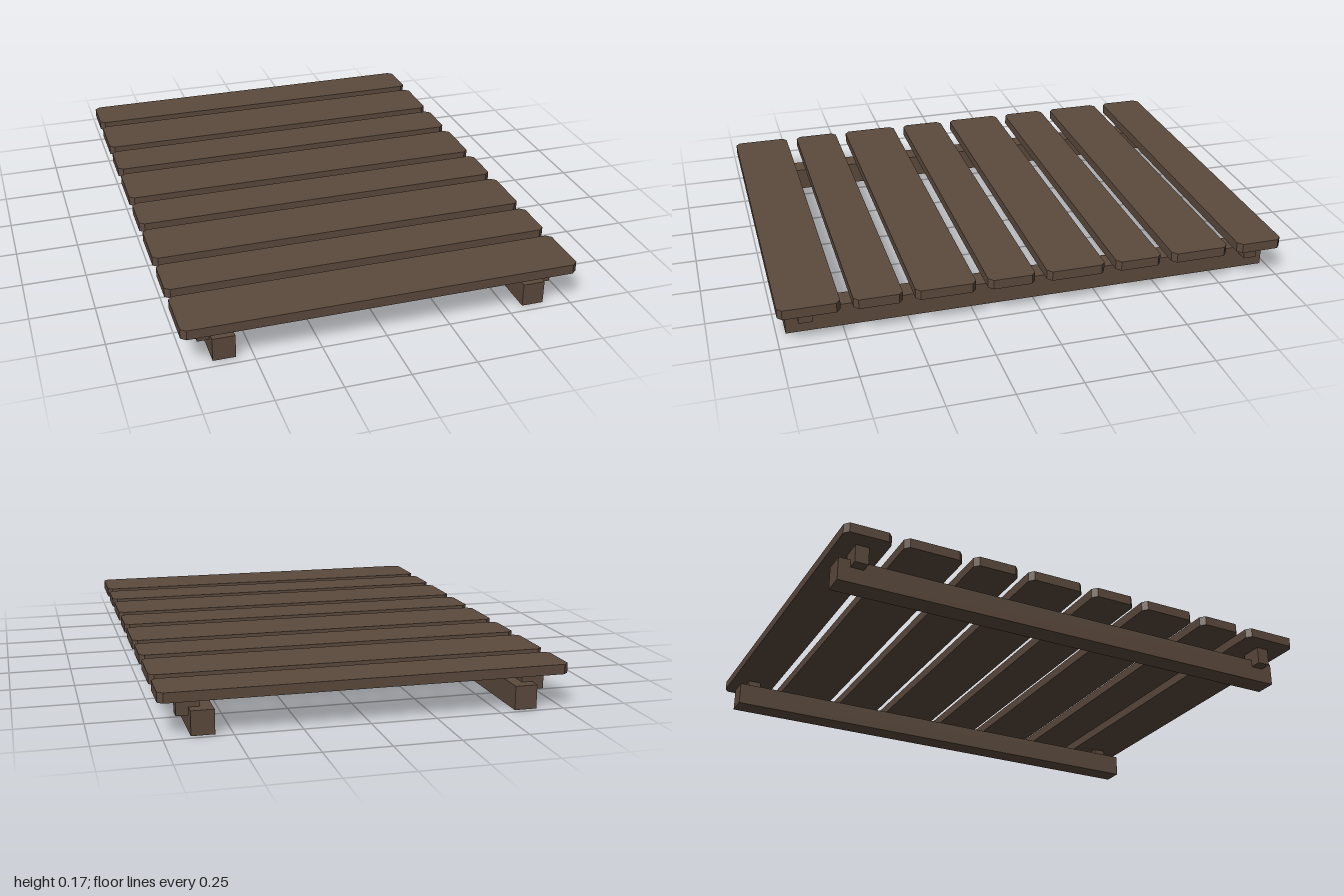
import * as THREE from 'three';

export function createModel() {
  const model = new THREE.Group();
  model.name = 'slattedPlatform';
  const wood = new THREE.MeshStandardMaterial({ color: 0x5c4a3d });
  wood.name = 'darkWood';

  const add = (name, geometry, x, y, z) => {
    const mesh = new THREE.Mesh(geometry, wood);
    mesh.name = name;
    mesh.position.set(x, y, z);
    model.add(mesh);
  };

  // Plank: rectangle with clipped corners, extruded upward
  const plankGeometry = (halfWidth, depth, height) => {
    const h = depth / 2, cx = 0.02, cz = 0.017;
    const shape = new THREE.Shape([
      [-halfWidth + cx, -h], [halfWidth - cx, -h], [halfWidth, -h + cz], [halfWidth, h - cz],
      [halfWidth - cx, h], [-halfWidth + cx, h], [-halfWidth, h - cz], [-halfWidth, -h + cz],
    ].map(([x, y]) => new THREE.Vector2(x, y)));
    return new THREE.ExtrudeGeometry(shape, { depth: height, bevelEnabled: false }).rotateX(-Math.PI / 2);
  };

  // Alternating narrow and wide planks, back to front
  const gap = 0.047;
  const narrow = 0.185, wide = (2 - 7 * gap - 4 * narrow) / 4;
  let z = -1;
  for (let i = 0; i < 8; i++) {
    const depth = i % 2 ? wide : narrow;
    add('plank' + (i + 1), plankGeometry(0.766, depth, 0.038), 0, 0.132, z + depth / 2);
    z += depth + gap;
  }

  // Long bearers with joining blocks near both ends
  for (const [side, s] of [['left', 1], ['right', -1]]) {
    add(side + 'Bearer', new THREE.BoxGeometry(0.086, 0.092, 1.944), s * 0.607, 0.046, -0.007);
    add(side + 'FrontBlock', new THREE.BoxGeometry(0.086, 0.07, 0.053), s * 0.652, 0.097, 0.893);
    add(side + 'BackBlock', new THREE.BoxGeometry(0.086, 0.07, 0.053), s * 0.652, 0.097, -0.906);
  }
  return model;
}
